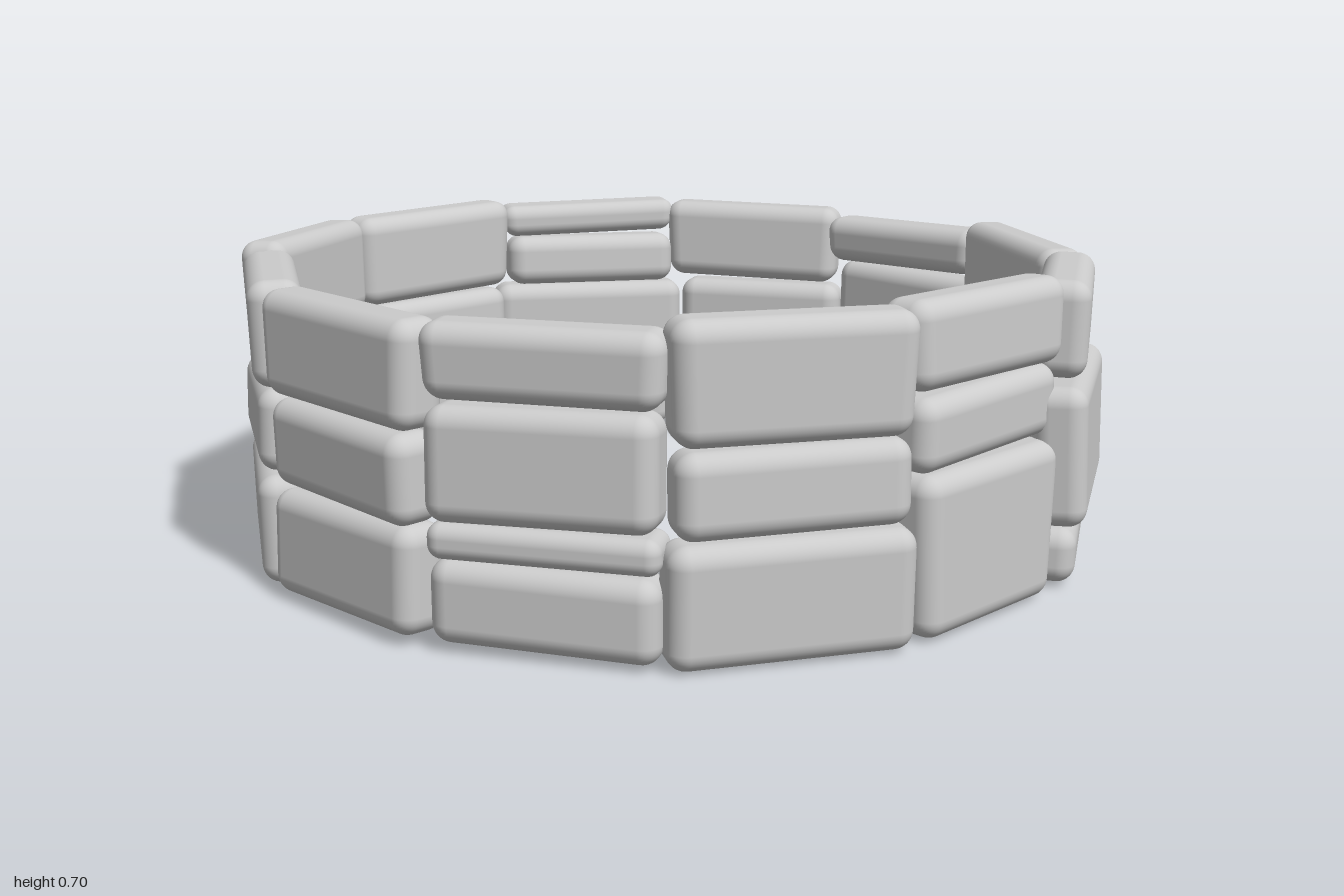
import * as THREE from 'three';
import { RoundedBoxGeometry } from 'three/addons/geometries/RoundedBoxGeometry.js';

const THICK = 0.125;
const GAP = 0.005;

// One worn stone: a rounded slab, widened at the top by `taper` and slightly slanted.
function stoneGeometry(width, height, taper, slant) {
  const geo = new RoundedBoxGeometry(width, height, THICK, 5, Math.min(0.042, height * 0.4));
  const pos = geo.attributes.position;
  for (let i = 0; i < pos.count; i++) {
    const x = pos.getX(i), y = pos.getY(i), z = pos.getZ(i);
    pos.setXYZ(i,
      x * (1 + taper * y / height),
      y + slant * x,
      z * (1 - 0.12 * Math.abs(x) / width));
  }
  return geo;
}

// Columns every 30 degrees round the ring: radius, and joint heights from bottom to top
const columns = [
  { r: 0.885, joints: [0.01, 0.36, 0.52, 0.71] },
  { r: 0.92, joints: [0.02, 0.15, 0.47, 0.69] },
  { r: 0.91, joints: [0.01, 0.26, 0.45, 0.69] },
  { r: 0.915, joints: [0.01, 0.245, 0.54, 0.665] },
  { r: 0.925, joints: [0.02, 0.145, 0.25, 0.47, 0.685] },
  { r: 0.935, joints: [0.02, 0.25, 0.46, 0.6, 0.69] },
  { r: 0.935, joints: [0.02, 0.255, 0.46, 0.7] },
  { r: 0.945, joints: [0.01, 0.24, 0.345, 0.455, 0.7] },
  { r: 0.92, joints: [0.01, 0.26, 0.45, 0.69] },
  { r: 0.915, joints: [0.02, 0.255, 0.45, 0.68] },
  { r: 0.9, joints: [0.02, 0.2, 0.28, 0.52, 0.68] },
  { r: 0.91, joints: [0.01, 0.27, 0.45, 0.705] },
];

// Stones that differ from the common shape, by column and course
const special = {
  '1_1': { width: 0.45, out: 0.015, taper: 0.08 },
  '2_1': { width: 0.47, shift: -0.02 },
  '2_2': { width: 0.56, shift: -0.02, out: 0.022, taper: 0.1 },
  '4_2': { shift: -0.03 },
  '5_3': { width: 0.46, shift: -0.03, out: -0.025 },
  '6_2': { width: 0.54 },
  '6_3': { out: -0.03 },
  '11_3': { out: 0.015 },
  '12_1': { width: 0.51 },
};

export function createModel() {
  const model = new THREE.Group();
  model.name = 'stoneRing';
  const material = new THREE.MeshStandardMaterial({ color: 0xcccccc });

  columns.forEach(({ r, joints }, c) => {
    const column = new THREE.Group();
    column.name = `stoneColumn${c + 1}`;
    column.rotation.y = THREE.MathUtils.degToRad(30 * c - 2.5);
    for (let s = 0; s < joints.length - 1; s++) {
      const id = `${c + 1}_${s + 1}`;
      const isTop = s === joints.length - 2;
      const { width = isTop ? 0.49 : 0.475, shift = 0, out = 0, taper = isTop ? 0.04 : 0 } = special[id] ?? {};
      const height = joints[s + 1] - joints[s] - GAP;
      const slant = 0.018 * Math.sin(c * 2.3 + s * 1.7);
      const stone = new THREE.Mesh(stoneGeometry(width, height, taper, slant), material);
      stone.name = `stone${id}`;
      stone.position.set(shift, (joints[s] + joints[s + 1]) / 2, r + out);
      // small uneven lean and turn
      stone.rotation.set(0.03 * Math.sin(c * 1.9 + s * 2.6), 0.025 * Math.sin(c * 3.1 + s * 2.1), 0);
      column.add(stone);
    }
    model.add(column);
  });
  return model;
}
